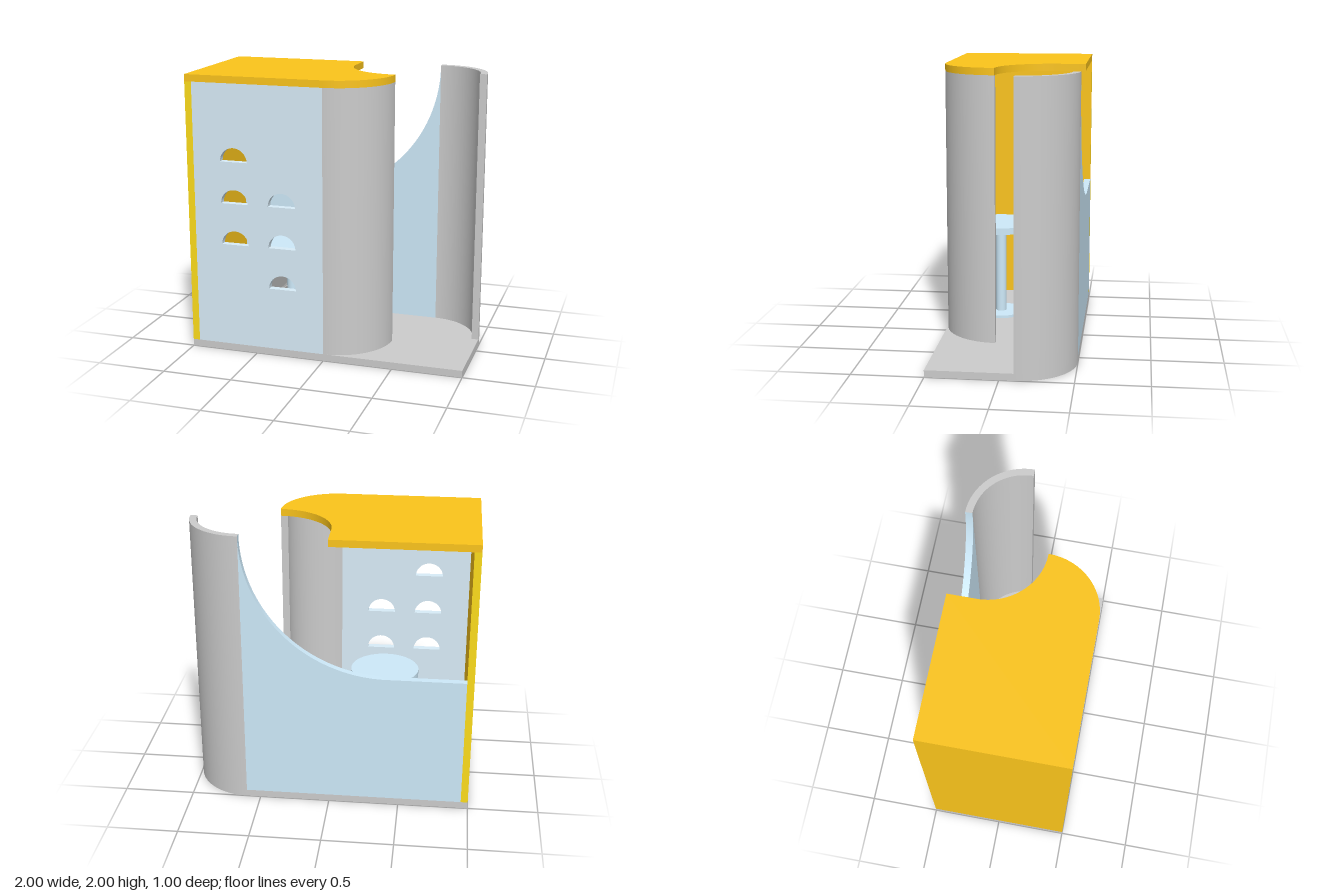
import * as THREE from 'three';
import { toCreasedNormals } from 'three/addons/utils/BufferGeometryUtils.js';

const mat = (color) => new THREE.MeshStandardMaterial({ color });
const grey = mat(0xcccccc), darkGrey = mat(0xb4b4b4), amber = mat(0xfbc41b), yellow = mat(0xfcdc1b);
const paleBlue = mat(0xd8ecf8), blue = mat(0xcde9f9);
const FLOOR = 0.05, ROOF = 1.95, T = 0.05, Q = Math.PI / 2;

export function createModel() {
  const group = new THREE.Group();

  const add = (name, geometry, material, x = 0, y = 0, z = 0) => {
    const mesh = new THREE.Mesh(geometry, material);
    mesh.name = name;
    mesh.position.set(x, y, z);
    group.add(mesh);
  };
  // Box given by its minimum and maximum corners
  const box = (name, material, a, b) => add(name,
    new THREE.BoxGeometry(b[0] - a[0], b[1] - a[1], b[2] - a[2]), material,
    (a[0] + b[0]) / 2, (a[1] + b[1]) / 2, (a[2] + b[2]) / 2);
  const extrude = (shape, depth) => toCreasedNormals(
    new THREE.ExtrudeGeometry(shape, { depth, bevelEnabled: false, curveSegments: 32 }), 0.5);
  // Plan outline (x, -z) raised from y0 to y1
  const plan = (name, material, shape, y0, y1) =>
    add(name, extrude(shape, y1 - y0).rotateX(-Q), material, 0, y0, 0);
  const disc = (name, r, y0, y1) =>
    add(name, new THREE.CylinderGeometry(r, r, y1 - y0, 48), blue, -0.35, (y0 + y1) / 2, 0.15);
  // Quarter-round wall in plan
  const quarterWall = (cx, cy, a0, a1) => {
    const s = new THREE.Shape();
    s.absarc(cx, cy, 0.4, a0, a1, false);
    s.absarc(cx, cy, 0.4 - T, a1, a0, true);
    s.closePath();
    return s;
  };

  // Floor slab with one rounded corner
  const floor = new THREE.Shape();
  floor.moveTo(-1, -0.5).lineTo(1, -0.5).lineTo(1, 0.1);
  floor.absarc(0.6, 0.1, 0.4, 0, Q, false);
  floor.lineTo(-1, 0.5).closePath();
  plan('floor', grey, floor, 0, FLOOR);

  // Roof with a convex front corner and a concave bite
  const roof = new THREE.Shape();
  roof.moveTo(-1, -0.5).lineTo(0, -0.5);
  roof.absarc(0, -0.1, 0.4, -Q, 0, false);
  roof.absarc(0.4, 0.3, 0.4, -Q, -2 * Q, true);
  roof.lineTo(0, 0.5).lineTo(-1, 0.5).closePath();
  plan('roof', amber, roof, ROOF, 2);

  // End wall with brighter edges
  box('endWall', [amber, amber, amber, amber, yellow, yellow], [-1, FLOOR, -0.5], [-0.95, ROOF, 0.5]);

  // Curved walls
  plan('frontCurvedWall', grey, quarterWall(0, -0.1, -Q, 0), FLOOR, ROOF);
  plan('backCurvedWall', grey, quarterWall(0.6, 0.1, 0, Q), FLOOR, 2);

  // Front wall with half-round windows
  const front = new THREE.Shape();
  front.moveTo(-0.95, FLOOR).lineTo(0, FLOOR).lineTo(0, ROOF).lineTo(-0.95, ROOF).closePath();
  for (const [x, sills] of [[-0.65, [1.4, 1.1, 0.8]], [-0.3, [1.1, 0.8, 0.5]]]) {
    for (const y of sills) {
      const hole = new THREE.Path();
      hole.absarc(x, y, 0.1, 0, Math.PI, false);
      hole.closePath();
      front.holes.push(hole);
    }
  }
  add('frontWall', extrude(front, T), paleBlue, 0, 0, 0.45);

  // Back wall with a sweeping top edge
  const back = new THREE.Shape();
  back.moveTo(-0.95, FLOOR).lineTo(0.6, FLOOR).lineTo(0.6, 2);
  back.absarc(-0.4, 2, 1, 0, -Q, true);
  back.lineTo(-0.95, 1).closePath();
  add('backWall', extrude(back, T), blue, 0, 0, -0.5);

  // Round table
  disc('tableBase', 0.17, FLOOR, 0.07);
  disc('tablePost', 0.04, 0.07, 0.72);
  disc('tableTop', 0.25, 0.72, 0.77);

  // Low cabinet with two drawers
  box('cabinet', grey, [-0.95, FLOOR, -0.45], [-0.6, 0.5, 0.07]);
  for (const [y0, y1] of [[0.055, 0.21], [0.24, 0.44]]) {
    box('drawer', darkGrey, [-0.62, y0, -0.43], [-0.59, y1, 0.055]);
  }

  return group;
}
